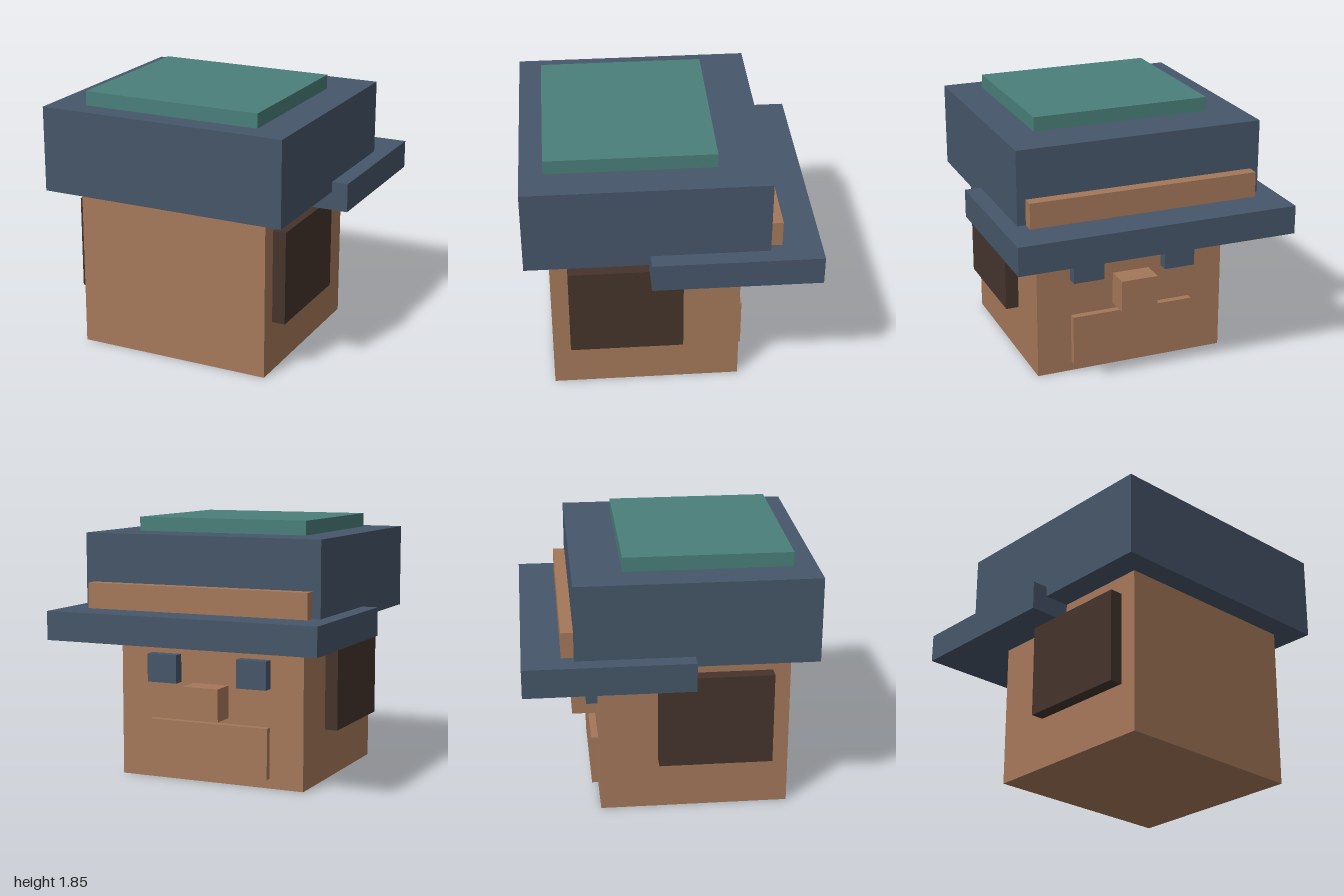
import * as THREE from 'three';

export function createModel() {
  const model = new THREE.Group();
  model.name = 'cappedHead';

  const material = (name, color) => {
    const m = new THREE.MeshStandardMaterial({ color });
    m.name = name;
    return m;
  };
  const skin = material('skin', 0xa5785a);
  const navy = material('navy', 0x465669);
  const teal = material('teal', 0x4a7f7a);
  const hair = material('dark brown', 0x45342c);

  // Box given by its lower and upper limits on each axis
  const block = (name, mat, [x0, x1], [y0, y1], [z0, z1]) => {
    const mesh = new THREE.Mesh(new THREE.BoxGeometry(x1 - x0, y1 - y0, z1 - z0), mat);
    mesh.position.set((x0 + x1) / 2, (y0 + y1) / 2, (z0 + z1) / 2);
    mesh.name = name;
    model.add(mesh);
  };

  // Head
  block('head', skin, [-0.7, 0.7], [0, 1.15], [-0.48, 0.835]);

  // Cap: crown, top panel, brim and the band above the brim
  block('capCrown', navy, [-0.885, 0.885], [1.15, 1.745], [-0.65, 1]);
  block('capTop', teal, [-0.64, 0.64], [1.745, 1.845], [-0.31, 0.84]);
  block('capBrim', navy, [-1, 1], [1.02, 1.222], [-1, 0.155]);
  block('capBand', skin, [-0.825, 0.825], [1.222, 1.402], [-0.735, -0.65]);

  // Face, on the brim side
  block('nose', skin, [-0.135, 0.135], [0.47, 0.7], [-0.65, -0.48]);
  block('mouth', skin, [-0.45, 0.45], [0.07, 0.43], [-0.53, -0.48]);

  // Mirrored eyes and side hair
  for (const [side, s] of [['left', 1], ['right', -1]]) {
    const span = (a, b) => (s > 0 ? [a, b] : [-b, -a]);
    block(side + 'Eye', navy, span(0.23, 0.455), [0.7, 0.9], [-0.56, -0.48]);
    block(side + 'SideHair', hair, span(0.7, 0.793), [0.362, 1.02], [-0.077, 0.712]);
  }

  return model;
}
